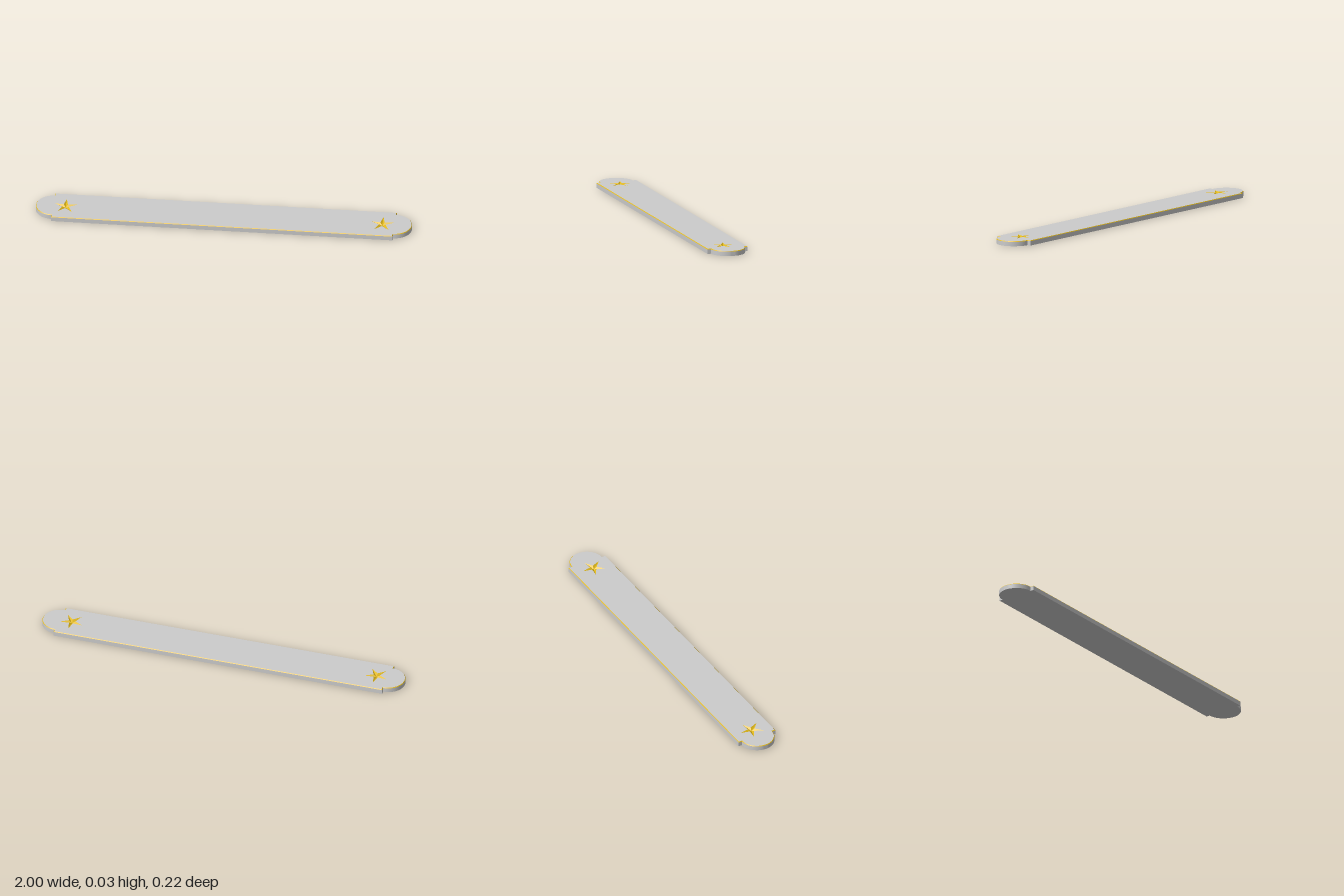
import * as THREE from 'three';
import { toCreasedNormals } from 'three/addons/utils/BufferGeometryUtils.js';

const TOP = 0.027, EDGE = 0.0235, BEVEL = 0.003;
const END_X = 0.908, HALF_DEPTH = 0.112, END_RADIUS = 0.092;
const STAR_X = 0.842, STAR_Z = 0.003, STAR_DEPTH = 0.011;

const grey = new THREE.MeshStandardMaterial({ color: 0xcccccc });
const gold = new THREE.MeshStandardMaterial({ color: 0xe0b81a });

// Counter-clockwise plate outline with rounded, stepped ends, shrunk by inset
function outline(inset) {
  const pts = [], r = END_RADIUS - inset, x = END_X - inset, steps = 32;
  for (const s of [1, -1]) {
    pts.push(new THREE.Vector2(s * x, -s * (HALF_DEPTH - inset)));
    pts.push(new THREE.Vector2(s * x, -s * r));
    for (let i = 1; i < steps; i++) {
      const a = -Math.PI / 2 + (Math.PI * i) / steps;
      pts.push(new THREE.Vector2(s * (END_X + r * Math.cos(a)), s * r * Math.sin(a)));
    }
    pts.push(new THREE.Vector2(s * x, s * r));
    pts.push(new THREE.Vector2(s * x, s * (HALF_DEPTH - inset)));
  }
  return pts;
}

// Five-pointed star outline
function star(cx) {
  return Array.from({ length: 10 }, (_, i) => {
    const a = Math.PI / 2 + (i * Math.PI) / 5, r = i % 2 ? 0.019 : 0.065;
    return new THREE.Vector2(cx + r * Math.cos(a), -STAR_Z + r * Math.sin(a));
  });
}

function fromPositions(pos) {
  const g = new THREE.BufferGeometry();
  g.setAttribute('position', new THREE.Float32BufferAttribute(pos, 3));
  g.computeVertexNormals();
  return g;
}

// Band of faces from one loop at y0 up to another at y1
function band(lower, y0, upper, y1) {
  const pos = [];
  lower.forEach((a, i) => {
    const j = (i + 1) % lower.length, b = lower[j], c = upper[j], d = upper[i];
    pos.push(a.x, y0, -a.y, b.x, y0, -b.y, c.x, y1, -c.y);
    pos.push(a.x, y0, -a.y, c.x, y1, -c.y, d.x, y1, -d.y);
  });
  return toCreasedNormals(fromPositions(pos), 0.6);
}

// Sunken star whose facets meet at a low centre
function starPit(cx) {
  const ring = star(cx), pos = [];
  ring.forEach((a, i) => {
    const b = ring[(i + 1) % ring.length];
    pos.push(a.x, TOP, -a.y, b.x, TOP, -b.y, cx, TOP - STAR_DEPTH, STAR_Z);
  });
  return fromPositions(pos);
}

export function createModel() {
  const group = new THREE.Group();
  group.name = 'plaque';
  const add = (name, geometry, material) => {
    const mesh = new THREE.Mesh(geometry, material);
    mesh.name = name;
    group.add(mesh);
  };
  const outer = outline(0), inner = outline(BEVEL);

  // Plate: underside, walls and gold bevelled rim
  add('underside', new THREE.ShapeGeometry(new THREE.Shape(outer)).rotateX(Math.PI / 2), grey);
  add('sideWall', band(outer, 0, outer, EDGE), grey);
  add('bevelledRim', band(outer, EDGE, inner, TOP), gold);

  // Top face, cut open for the stars
  const face = new THREE.Shape(inner);
  for (const s of [-1, 1]) face.holes.push(new THREE.Path(star(s * STAR_X)));
  add('topFace', new THREE.ShapeGeometry(face).rotateX(-Math.PI / 2).translate(0, TOP, 0), grey);

  // Gold engraved stars
  add('rightStar', starPit(-STAR_X), gold);
  add('leftStar', starPit(STAR_X), gold);
  return group;
}
